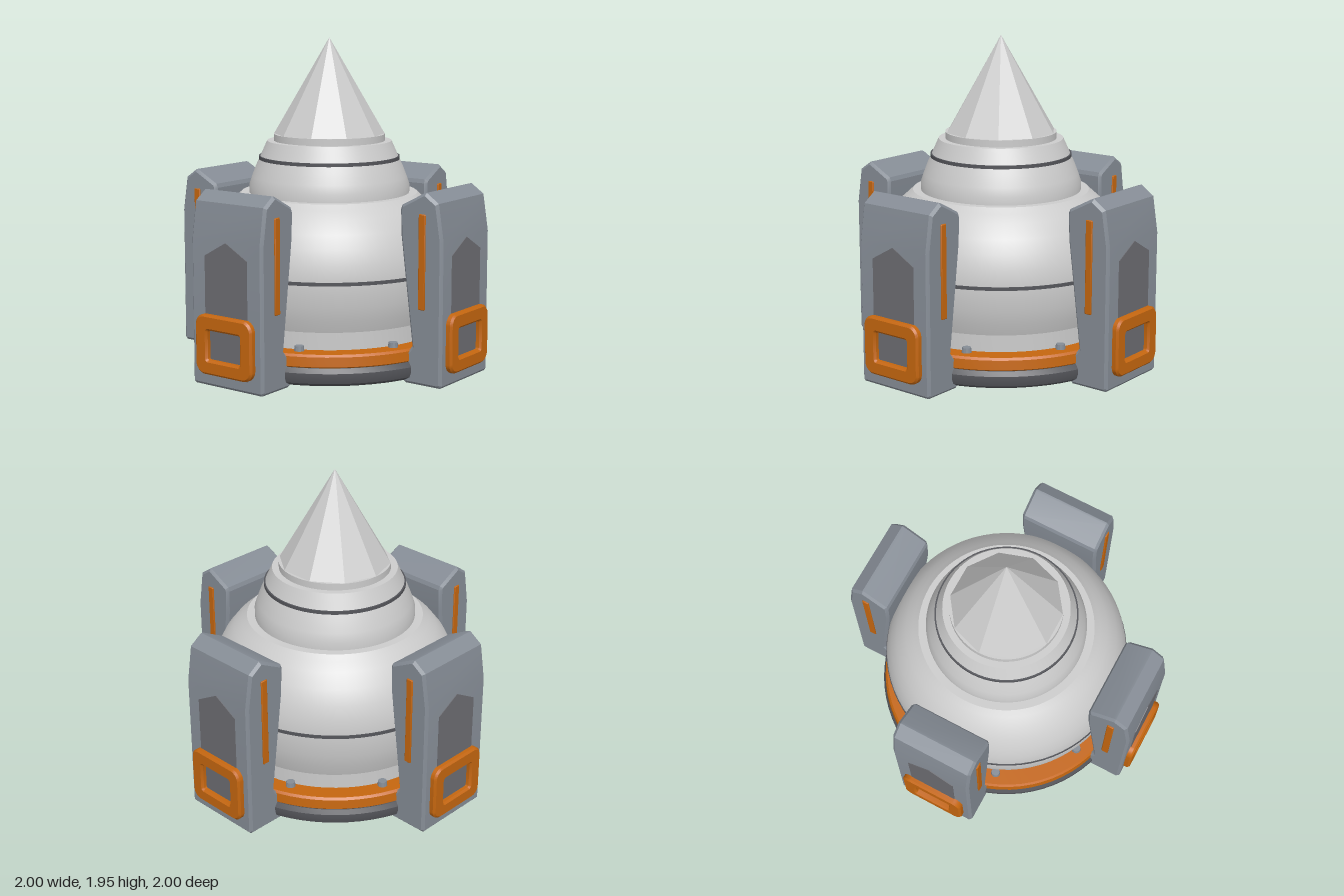
import * as THREE from 'three';
import { toCreasedNormals } from 'three/addons/utils/BufferGeometryUtils.js';

const paint = (color) => new THREE.MeshStandardMaterial({ color });
const hull = paint(0xcccccc);
const steel = paint(0x858c95);
const panelGrey = paint(0x6c6c71);
const dark = paint(0x55565b);
const black = paint(0x1c1c1e);
const orange = paint(0xc4660f);

function add(parent, name, geometry, material) {
  const mesh = new THREE.Mesh(geometry, material);
  mesh.name = name;
  parent.add(mesh);
  return mesh;
}

// Turned part from [radius, y] pairs, listed so that the outside lies to the right
function turned(parent, name, profile, material, segments = 72) {
  const pts = profile.map(([r, y]) => new THREE.Vector2(r, y));
  return add(parent, name, toCreasedNormals(new THREE.LatheGeometry(pts, segments), 0.45), material);
}

const polygon = (pts) => new THREE.Shape(pts.map(([x, y]) => new THREE.Vector2(x, y)));

function roundedRect(Type, w, y0, y1, r) {
  const s = new Type();
  s.moveTo(-w + r, y0);
  s.lineTo(w - r, y0);
  s.absarc(w - r, y0 + r, r, -Math.PI / 2, 0);
  s.absarc(w - r, y1 - r, r, 0, Math.PI / 2);
  s.absarc(-w + r, y1 - r, r, Math.PI / 2, Math.PI);
  s.absarc(-w + r, y0 + r, r, Math.PI, Math.PI * 1.5);
  return s;
}

// Chamfered slab whose outline stays true to the shape, spanning z0 to z1
function slab(shape, z0, z1, bevel) {
  const g = new THREE.ExtrudeGeometry(shape, {
    depth: z1 - z0 - 2 * bevel, bevelEnabled: bevel > 0, bevelSize: bevel, bevelThickness: bevel,
    bevelOffset: -bevel, bevelSegments: 1, curveSegments: 6,
  });
  g.translate(0, 0, z0 + bevel);
  return toCreasedNormals(g, 0.4);
}

// One leg standing on the +x side
function makeLeg() {
  const leg = new THREE.Group();
  const outline = polygon([
    [0.72, 0.02], [0.95, 0.02], [0.963, 0.035], [0.963, 0.86], [0.93, 1.07], [0.85, 1.125],
    [0.835, 1.122], [0.69, 1.045], [0.68, 1.02], [0.685, 0.87], [0.765, 0.24], [0.75, 0.22],
    [0.7, 0.19], [0.7, 0.04],
  ]);
  add(leg, 'legBody', slab(outline, -0.257, 0.257, 0.016), steel);

  // Thin inlay strips on both flanks
  const strip = roundedRect(THREE.Shape, 0.022, 0.46, 1.005, 0.006);
  const strips = add(leg, 'sideStrips', slab(strip, -0.265, 0.265, 0.004), orange);
  strips.position.x = 0.833;

  // Parts on the outer face, drawn facing +z and turned to +x
  const face = new THREE.Group();
  face.name = 'outerFace';
  face.rotation.y = Math.PI / 2;
  leg.add(face);
  const panel = polygon([[-0.152, 0.09], [0.152, 0.09], [0.152, 0.77], [0, 0.856], [-0.152, 0.77]]);
  add(face, 'pointedPanel', slab(panel, 0.93, 0.967, 0), panelGrey);
  const frame = roundedRect(THREE.Shape, 0.205, 0.095, 0.44, 0.065);
  frame.holes.push(roundedRect(THREE.Path, 0.118, 0.18, 0.35, 0.01));
  add(face, 'clampFrame', slab(frame, 0.95, 1.0, 0.012), orange);
  return leg;
}

export function createModel() {
  const model = new THREE.Group();

  // Base and underside
  turned(model, 'baseRing', [
    [0.3, 0.03], [0.7, 0.03], [0.77, 0.04], [0.8, 0.06], [0.81, 0.09], [0.81, 0.12],
    [0.795, 0.148], [0.7, 0.15],
  ], dark);
  turned(model, 'undersideHub', [
    [0.2, 0.1], [0.2, 0.008], [0.425, 0.008], [0.44, 0.018], [0.44, 0.04],
  ], steel);
  turned(model, 'hubRecess', [[0, 0.09], [0.2, 0.09]], black);
  turned(model, 'colourRing', [
    [0.7, 0.145], [0.785, 0.145], [0.797, 0.155], [0.792, 0.21], [0.78, 0.223], [0.66, 0.223],
  ], orange);

  // Hull
  turned(model, 'neck', [[0.68, 0.2], [0.68, 0.34]], hull);
  turned(model, 'lowerHull', [
    [0.66, 0.33], [0.705, 0.33], [0.728, 0.4], [0.744, 0.48], [0.75, 0.56], [0.75, 0.64],
    [0.738, 0.72], [0.712, 0.8], [0.672, 0.88], [0.61, 0.96], [0.565, 1.0], [0.53, 1.033],
    [0.45, 1.033],
  ], hull);
  turned(model, 'upperHull', [
    [0.482, 1.02], [0.482, 1.08], [0.465, 1.13], [0.442, 1.19], [0.417, 1.245], [0.392, 1.3],
    [0.373, 1.342], [0.3, 1.342],
  ], hull);
  turned(model, 'noseCollar', [[0.333, 1.33], [0.333, 1.383], [0, 1.383]], hull);

  // Seam bands
  for (const [name, r, y] of [['lowerBand', 0.755, 0.617], ['upperBand', 0.423, 1.242]]) {
    turned(model, name, [
      [r - 0.04, y - 0.01], [r, y - 0.01], [r, y + 0.01], [r - 0.04, y + 0.01],
    ], dark);
  }

  // Ten-sided nose
  const noseMaterial = hull.clone();
  noseMaterial.flatShading = true;
  const nose = add(model, 'noseCone', new THREE.ConeGeometry(0.333, 0.575, 10), noseMaterial);
  nose.position.y = 1.38 + 0.575 / 2;
  nose.rotation.y = Math.PI / 2;

  // Bolts above the ring and under the base
  const topBolt = toCreasedNormals(new THREE.CylinderGeometry(0.026, 0.031, 0.04, 12), 0.5);
  const baseBolt = toCreasedNormals(new THREE.CylinderGeometry(0.032, 0.028, 0.03, 12), 0.5);
  for (let i = 0; i < 8; i++) {
    const a = (i + 0.5) * Math.PI / 4;
    add(model, 'ringBolt', topBolt, steel).position.set(0.705 * Math.cos(a), 0.232, 0.705 * Math.sin(a));
    add(model, 'baseBolt', baseBolt, hull).position.set(0.6 * Math.cos(a), 0.027, 0.6 * Math.sin(a));
  }

  // Four legs around the hull
  ['leftLeg', 'backLeg', 'rightLeg', 'frontLeg'].forEach((name, i) => {
    const leg = makeLeg();
    leg.name = name;
    leg.rotation.y = i * Math.PI / 2;
    model.add(leg);
  });

  // Rest the lowest point on the ground
  const box = new THREE.Box3().setFromObject(model);
  model.children.forEach((part) => { part.position.y -= box.min.y; });
  return model;
}
